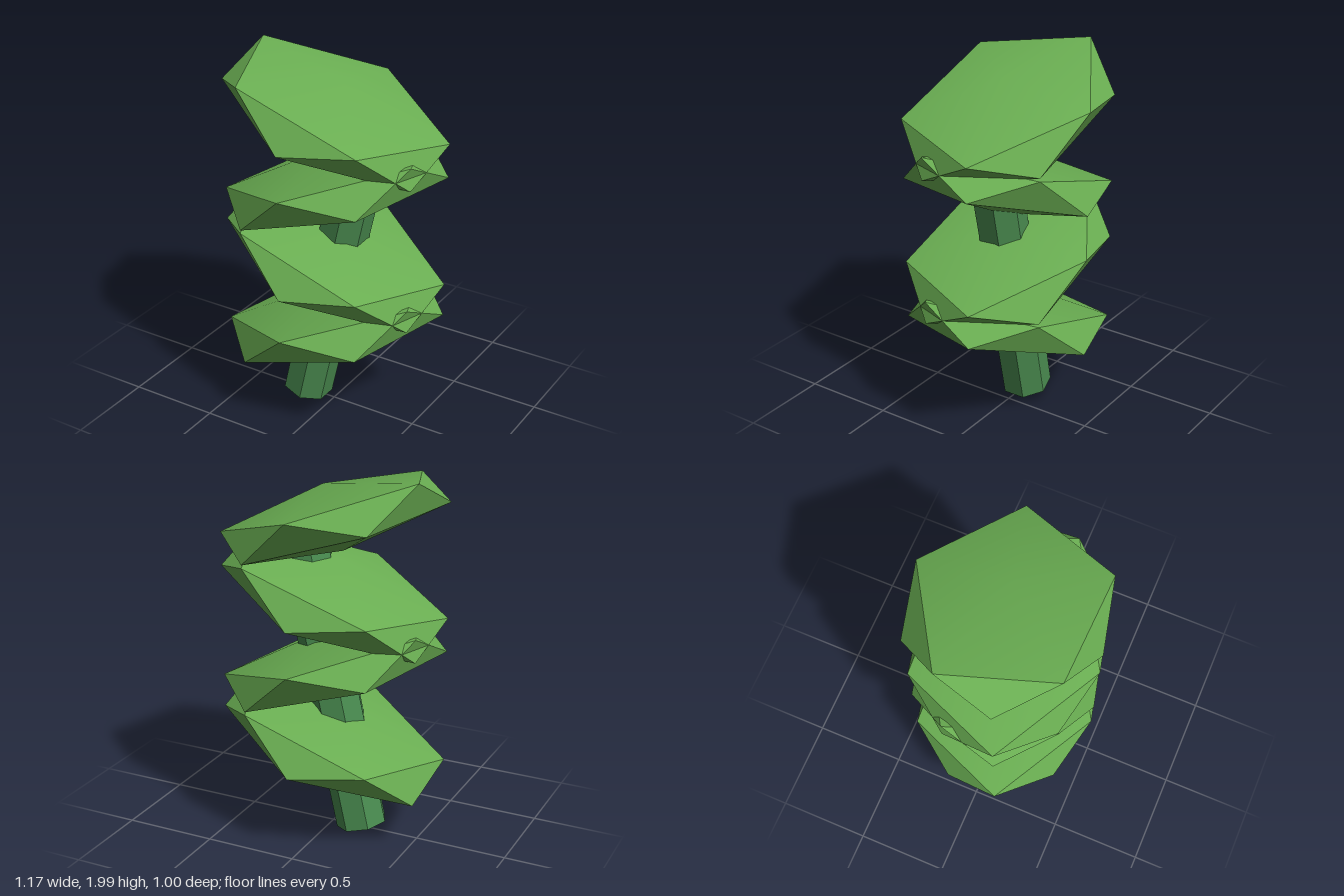
import * as THREE from 'three';
import { toCreasedNormals } from 'three/addons/utils/BufferGeometryUtils.js';

export function createModel() {
  const model = new THREE.Group();
  model.name = 'zigzagPlant';

  const leafGreen = new THREE.MeshStandardMaterial({ color: 0x6aae52 });
  leafGreen.name = 'leafGreen';
  const stemGreen = new THREE.MeshStandardMaterial({ color: 0x4a8c50 });
  stemGreen.name = 'stemGreen';

  // Leaf clump: an icosahedron stood on a corner, flattened and tilted
  let clump = new THREE.IcosahedronGeometry(1, 0);
  clump.rotateX(Math.atan((1 + Math.sqrt(5)) / 2));
  clump.scale(0.692, 0.181, 0.559);
  clump.rotateZ(-0.32);
  clump = toCreasedNormals(clump, 0.5);

  // Four clumps, each turned half round from the one below
  for (let i = 0; i < 4; i++) {
    const leaf = new THREE.Mesh(clump, leafGreen);
    leaf.name = `leafClump${i + 1}`;
    leaf.position.y = 0.537 + 0.4 * i;
    leaf.rotation.y = i % 2 === 0 ? Math.PI : 0;
    model.add(leaf);
  }

  // Seven-sided leaning stem
  const stemShape = new THREE.CylinderGeometry(0.14, 0.14, 1.6, 7, 1, false, -Math.PI / 2);
  const stem = new THREE.Mesh(toCreasedNormals(stemShape, 0.5), stemGreen);
  stem.name = 'stem';
  stem.position.y = 0.815;
  stem.rotation.z = -0.22;
  model.add(stem);

  return model;
}
